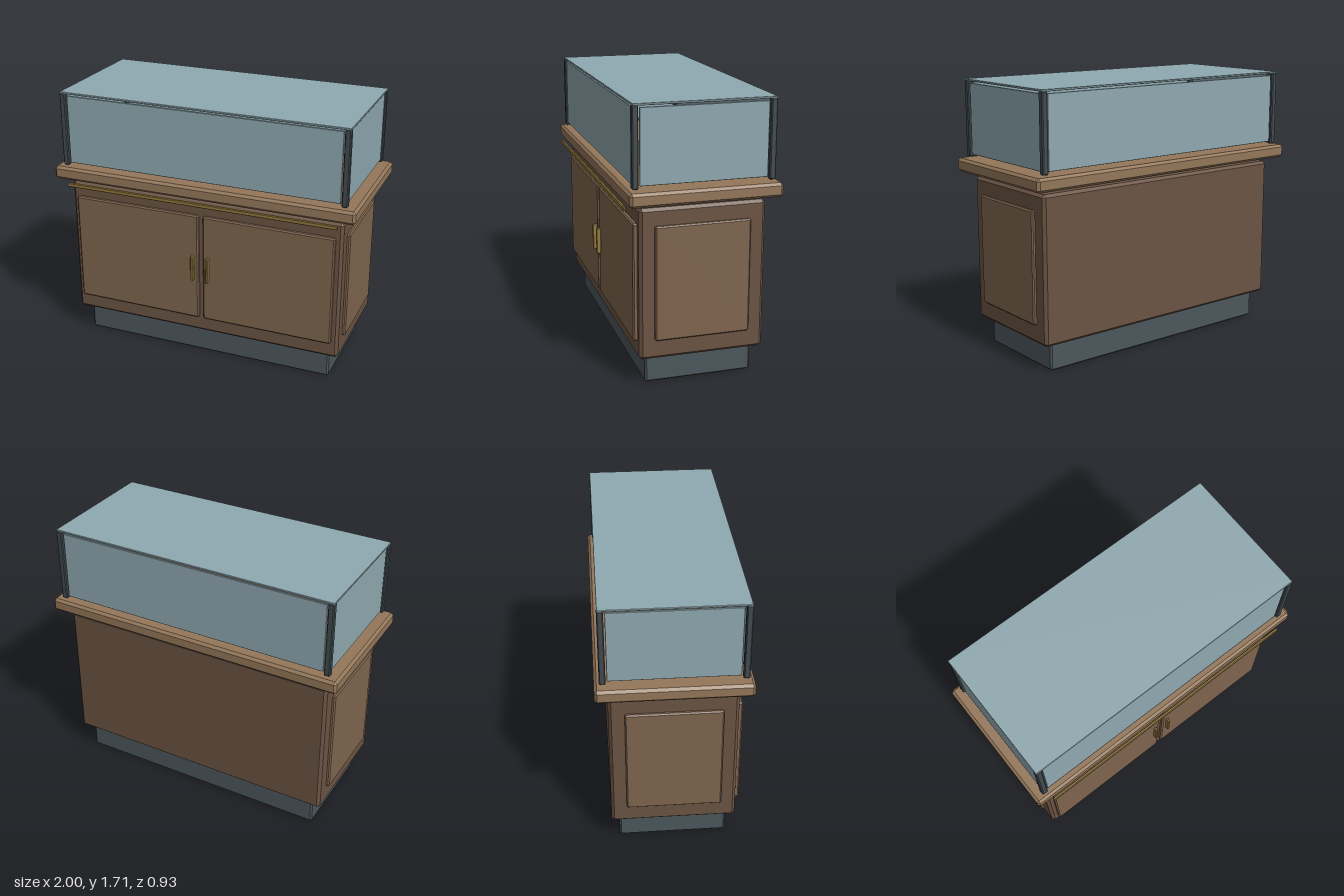
import * as THREE from 'three';
import { ConvexGeometry } from 'three/addons/geometries/ConvexGeometry.js';

const mat = (color) => new THREE.MeshStandardMaterial({ color });

// Box from x/y/z ranges with all edges chamfered by c.
function chamferBox(x, y, z, c) {
  const half = [x, y, z].map(([a, b]) => (b - a) / 2);
  const points = [];
  for (const sx of [-1, 1]) for (const sy of [-1, 1]) for (const sz of [-1, 1]) {
    for (let full = 0; full < 3; full++) {
      const p = [sx, sy, sz].map((s, i) => s * (half[i] - (i === full ? 0 : c)));
      points.push(new THREE.Vector3(...p));
    }
  }
  const geometry = new ConvexGeometry(points);
  geometry.translate((x[0] + x[1]) / 2, (y[0] + y[1]) / 2, (z[0] + z[1]) / 2);
  return geometry;
}

export function createModel() {
  const model = new THREE.Group();
  model.name = 'displayCabinet';

  const darkWood = mat(0x6b5443);
  const panelWood = mat(0x7f654e);
  const topWood = mat(0x94775a);
  const slate = mat(0x4c575c);
  const frame = mat(0x424c51);
  const brass = mat(0x94793c);
  const glass = mat(0x8fa9b0);

  const add = (name, material, x, y, z, c) => {
    const mesh = new THREE.Mesh(chamferBox(x, y, z, c), material);
    mesh.name = name;
    model.add(mesh);
  };
  // Range along x, mirrored for side s = -1.
  const side = (s, a, b) => (s > 0 ? [a, b] : [-b, -a]);

  // Base, carcass and counter
  add('plinth', slate, [-0.848, 0.848], [0, 0.18], [-0.34, 0.325], 0.01);
  add('cabinetBody', darkWood, [-0.915, 0.915], [0.175, 1.1], [-0.39, 0.375], 0.018);
  add('countertop', topWood, [-1, 1], [1.13, 1.215], [-0.465, 0.45], 0.016);
  add('frontRail', brass, [-0.9, 0.9], [1.094, 1.12], [0.448, 0.466], 0.004);

  // Doors, handles, side panels and glass end panes, mirrored
  for (const s of [1, -1]) {
    const label = s > 0 ? 'left' : 'right';
    add(label + 'Door', panelWood, side(s, 0.016, 0.872), [0.284, 1.005], [0.37, 0.402], 0.008);
    add(label + 'Handle', brass, side(s, 0.042, 0.06), [0.56, 0.73], [0.4, 0.43], 0.004);
    add(label + 'SidePanel', panelWood, side(s, 0.905, 0.935), [0.295, 0.995], [-0.295, 0.285], 0.008);
    add(label + 'GlassPane', glass, side(s, 0.92, 0.932), [1.24, 1.685], [-0.39, 0.375], 0.002);

    // Corner posts of the glass case
    add(label + 'FrontPost', frame, side(s, 0.905, 0.943), [1.224, 1.7], [0.384, 0.422], 0.006);
    add(label + 'BackPost', frame, side(s, 0.905, 0.943), [1.224, 1.7], [-0.435, -0.397], 0.006);
  }

  // Long panes and lid of the glass case
  add('frontGlassPane', glass, [-0.898, 0.898], [1.24, 1.685], [0.398, 0.41], 0.002);
  add('backGlassPane', glass, [-0.898, 0.898], [1.24, 1.685], [-0.424, -0.412], 0.002);
  add('glassTop', glass, [-0.943, 0.943], [1.697, 1.709], [-0.433, 0.418], 0.002);

  return model;
}
